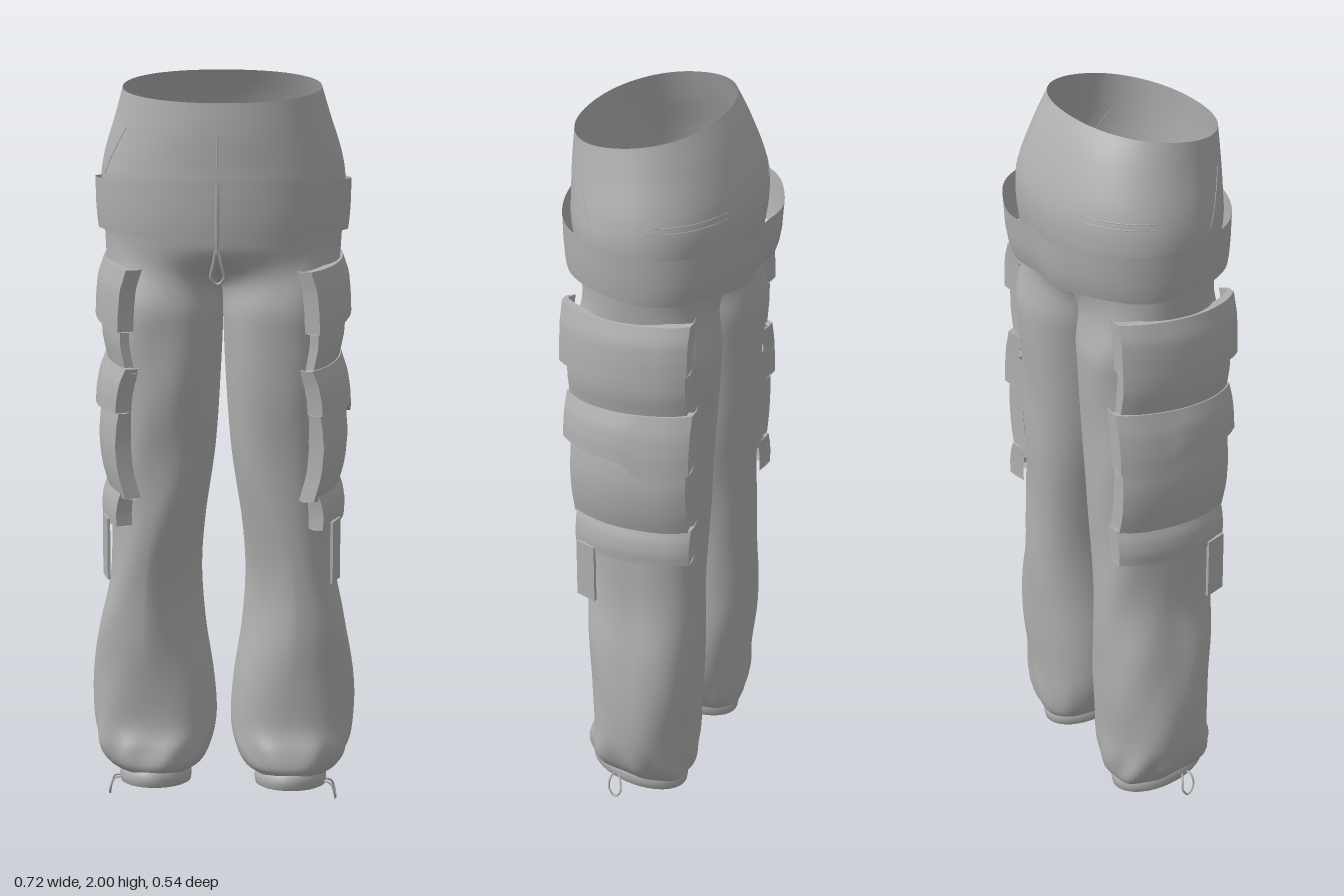
import * as THREE from 'three';
import { toCreasedNormals } from 'three/addons/utils/BufferGeometryUtils.js';

const { lerp, clamp, smoothstep } = THREE.MathUtils;

// Trouser sections from waist to hem: y, inner x, outer x, front z, back z
const SECTIONS = [
  [1.982, 0, 0.26, 0.235, -0.145],
  [1.9, 0, 0.283, 0.24, -0.185],
  [1.8, 0, 0.313, 0.24, -0.222],
  [1.72, 0, 0.323, 0.238, -0.228],
  [1.6, 0, 0.315, 0.215, -0.212],
  [1.4, 0, 0.305, 0.2, -0.192],
  [1.2, 0.008, 0.3, 0.188, -0.18],
  [1.0, 0.022, 0.3, 0.165, -0.175],
  [0.8, 0.05, 0.3, 0.155, -0.167],
  [0.65, 0.06, 0.305, 0.15, -0.165],
  [0.5, 0.05, 0.335, 0.145, -0.165],
  [0.35, 0.028, 0.355, 0.13, -0.16],
  [0.23, 0.02, 0.36, 0.125, -0.15],
  [0.15, 0.035, 0.345, 0.145, -0.148],
  [0.1, 0.06, 0.315, 0.152, -0.14],
  [0.075, 0.095, 0.282, 0.142, -0.125],
];

// Smooth interpolation between the sections, f in 0..1
function sectionAt(f) {
  const n = SECTIONS.length - 1;
  const i = Math.min(Math.floor(f * n), n - 1);
  const t = f * n - i;
  const at = (k) => SECTIONS[clamp(k, 0, n)];
  const [a, b, c, d] = [at(i - 1), at(i), at(i + 1), at(i + 2)];
  return b.map((p, k) => 0.5 * (2 * p + (c[k] - a[k]) * t
    + (2 * a[k] - 5 * p + 4 * c[k] - d[k]) * t * t
    + (3 * p - a[k] - 3 * c[k] + d[k]) * t * t * t));
}

// Rounded-square unit curve
function oval(angle, n) {
  const r = (v) => Math.sign(v) * Math.abs(v) ** (2 / n);
  return [r(Math.cos(angle)), r(Math.sin(angle))];
}

// Surface from a rule point(column, row); side -1 mirrors it
function grid(cols, rows, side, point, crease = 0) {
  const pos = [], index = [];
  for (let j = 0; j <= rows; j++) {
    for (let i = 0; i <= cols; i++) {
      const [x, y, z] = point(i, j);
      pos.push(x * side, y, z);
    }
  }
  for (let j = 0; j < rows; j++) {
    for (let i = 0; i < cols; i++) {
      const a = j * (cols + 1) + i, b = a + cols + 1, c = a + 1, d = b + 1;
      if (side > 0) index.push(a, b, c, c, b, d);
      else index.push(a, c, b, c, d, b);
    }
  }
  const g = new THREE.BufferGeometry();
  g.setAttribute('position', new THREE.Float32BufferAttribute(pos, 3));
  g.setIndex(index);
  g.computeVertexNormals();
  return crease ? toCreasedNormals(g, crease) : g;
}

// Half of the seat and one leg: an open half loop at the waist that closes below the crotch
function legPoint(t, f) {
  const [y, xi, xo, zf, zb] = sectionAt(f);
  const s = 1 - smoothstep(y, 1.38, lerp(1.57, 1.62, t));
  const zc = (zf + zb) / 2, rz = (zf - zb) / 2;
  const [hc, hs] = oval(Math.PI * (0.5 - t), t < 0.5 ? 2.1 : 2.2);
  // The knee is flattened on its inner front
  const knee = Math.exp(-(((y - 0.6) / 0.22) ** 2));
  const [lc, ls] = oval(Math.PI * (1 - 2 * t), t < 0.25 ? lerp(2.35, 1.5, knee) : 2.35);
  const cx = (xi + xo) / 2, rx = (xo - xi) / 2;
  // Cloth folds: gathers above the hem, slanted creases down the leg
  const gather = 0.04 * Math.exp(-(((y - 0.14) / 0.06) ** 2)) * Math.sin(t * Math.PI * 18 + y * 20);
  const crease = 0.03 * s * Math.sin(y * 13 + t * Math.PI * 4) * Math.sin(y * 5 + t * Math.PI * 6);
  const k = 1 + (gather + crease) * Math.sin(Math.PI * t);
  const x = lerp(xo * hc, cx + rx * lc * k + 0.02 * knee * Math.max(0, ls), s);
  const z = zc + rz * lerp(hs, ls * k, s);
  const tilt = -0.12 * smoothstep(y, 1.7, 1.97) + 0.18 * (1 - smoothstep(y, 0.08, 0.3));
  return [Math.max(0, x), y + tilt * z, z];
}

// Padded pocket or flap on the outer thigh; profile lists outer x from top to bottom
function pad(side, zf, zb, top, bottom, profile) {
  const cols = 18, rows = 12;
  return grid(cols, rows, side, (i, j) => {
    const u = clamp((i - 1) / (cols - 2), 0, 1);
    const v = clamp((j - 1) / (rows - 2), 0, 1);
    const z = lerp(zf, zb, u);
    const p = v * (profile.length - 1);
    const q = Math.min(Math.floor(p), profile.length - 2);
    const sideWall = i === 0 || i === cols, endWall = j === 0 || j === rows;
    const depth = sideWall ? lerp(0.04, 0.06, u) : endWall ? 0.025 : 0;
    const x = lerp(profile[q], profile[q + 1], p - q) - (z > 0 ? 1.6 : 1.0) * z * z
      - 0.01 * Math.abs(2 * u - 1) ** 6 - depth;
    // Side walls slant in under the pocket to meet the leg
    const tuck = i === 0 ? -0.02 : i === cols ? 0.008 : 0;
    return [x, lerp(top(z), bottom(z), v), z + tuck];
  }, 0.7);
}

// Straight edge height running from front to back
const edge = (front, back) => (z) => lerp(back, front, (z + 0.18) / 0.38);

export function createModel() {
  const model = new THREE.Group();
  const cloth = new THREE.MeshStandardMaterial({ color: 0xb0b0b0, side: THREE.DoubleSide });
  cloth.name = 'grey cloth';
  const add = (name, geometry) => {
    const mesh = new THREE.Mesh(geometry, cloth);
    mesh.name = name;
    model.add(mesh);
    return mesh;
  };
  const cord = (name, points, radius, closed = false) => add(name, new THREE.TubeGeometry(
    new THREE.CatmullRomCurve3(points.map((p) => new THREE.Vector3(...p)), closed), 32, radius, 6, closed));

  for (const side of [1, -1]) {
    const label = side > 0 ? 'left' : 'right';
    add(label + 'Leg', grid(64, 120, side, (i, j) => legPoint(i / 64, j / 120)));

    // Hem cuff: narrow tilted band with its lower edge turned in
    const cuff = [[0.085, -0.008], [0.076, 0.002], [0.058, 0.004], [0.04, 0.001], [0.037, -0.005]];
    add(label + 'Cuff', grid(40, cuff.length - 1, side, (i, j) => {
      const a = Math.PI * (1 - i / 20);
      const z = 0.016 + (0.136 + cuff[j][1]) * Math.sin(a);
      return [0.188 + (0.096 + cuff[j][1]) * Math.cos(a), cuff[j][0] + 0.18 * z, z];
    }));

    // Cargo pockets with overlapping flaps
    add(label + 'UpperPocket', pad(side, 0.185, -0.16, edge(1.46, 1.48), edge(1.235, 1.265),
      [0.31, 0.325, 0.325, 0.31]));
    add(label + 'UpperFlap', pad(side, 0.205, -0.17, edge(1.515, 1.535), edge(1.35, 1.4),
      [0.318, 0.335, 0.34, 0.342]));
    add(label + 'LowerPocket', pad(side, 0.175, -0.165, edge(1.18, 1.2), edge(0.89, 0.9),
      [0.31, 0.33, 0.336, 0.33, 0.31]));
    add(label + 'LowerFlap', pad(side, 0.195, -0.175, edge(1.25, 1.275),
      (z) => 1.13 - 0.04 * (1 - smoothstep(z, -0.05, 0)) + 0.02 * (1 - smoothstep(z, -0.18, -0.12)),
      [0.316, 0.333, 0.341, 0.344]));
    add(label + 'KneeFlap', pad(side, 0.163, -0.172, edge(0.915, 0.925), edge(0.81, 0.825),
      [0.312, 0.325, 0.33, 0.328]));

    // Hanging strap under the knee flap
    const strap = add(label + 'Strap', new THREE.BoxGeometry(0.008, 0.17, 0.062));
    strap.position.set(side * 0.308, 0.745, 0.118);
    strap.rotation.y = -side * 0.3;

    // Ankle drawcord loop
    cord(label + 'AnkleCord', [[side * 0.27, 0.062, 0.05], [side * 0.3, 0.055, 0.06], [side * 0.312, 0.025, 0.058],
      [side * 0.314, 0.006, 0.04], [side * 0.312, 0.025, 0.024], [side * 0.3, 0.055, 0.03]], 0.003, true);

    // Seams lying on the cloth: slanted hip pocket and back welt
    const seam = (name, t0, f0, t1, f1) => cord(label + name, [0, 0.25, 0.5, 0.75, 1].map((k) => {
      const [x, y, z] = legPoint(lerp(t0, t1, k), lerp(f0, f1, k));
      return [x * side, y, z];
    }), 0.0015);
    seam('HipPocketSeam', 0.317, 0.07, 0.395, 0.175);
    seam('BackWeltTop', 0.58, 0.137, 0.87, 0.142);
    seam('BackWeltBottom', 0.58, 0.149, 0.87, 0.154);
  }

  // Loose folded band around the hips, closer to the body at its lower edge: height, offset
  const band = [[1.733, 0.002], [1.7, 0.001], [1.66, 0], [1.62, -0.003], [1.598, -0.006], [1.598, -0.01]];
  add('hipBand', grid(96, band.length - 1, 1, (i, j) => {
    const a = Math.PI * (0.5 - i / 48);
    const [c, s] = oval(a, Math.sin(a) > 0 ? 2.15 : 2.25);
    const [y, o] = band[j];
    const x = (0.337 + o) * c;
    const wave = s < 0 ? 0.01 * Math.exp(-((x / 0.05) ** 2))
      - 0.008 * Math.exp(-(((Math.abs(x) - 0.11) / 0.06) ** 2)) : 0;
    const z = (0.26 + o * (s < 0 ? 2.5 : 1)) * s + wave;
    return [x, y + 0.05 * z + 0.004 * Math.sin(a * 5), z];
  }, 0.9));

  // Front placket line, waist drawcord and its hanging loop
  const placket = add('placket', new THREE.BoxGeometry(0.012, 0.135, 0.006));
  placket.position.set(0, 1.678, 0.262);
  cord('waistDrawcord', [[0, 1.75, 0.262], [0, 1.68, 0.267], [0, 1.6, 0.264], [0, 1.57, 0.258]], 0.004);
  cord('drawcordLoop', [[0, 1.585, 0.26], [0.011, 1.54, 0.253], [0.017, 1.505, 0.245], [0, 1.487, 0.24],
    [-0.017, 1.505, 0.245], [-0.011, 1.54, 0.253]], 0.004, true);

  // Fly seam
  cord('flySeam', [[0, 1.87, 0.241], [0, 1.83, 0.242], [0, 1.79, 0.241]], 0.002);

  return model;
}
